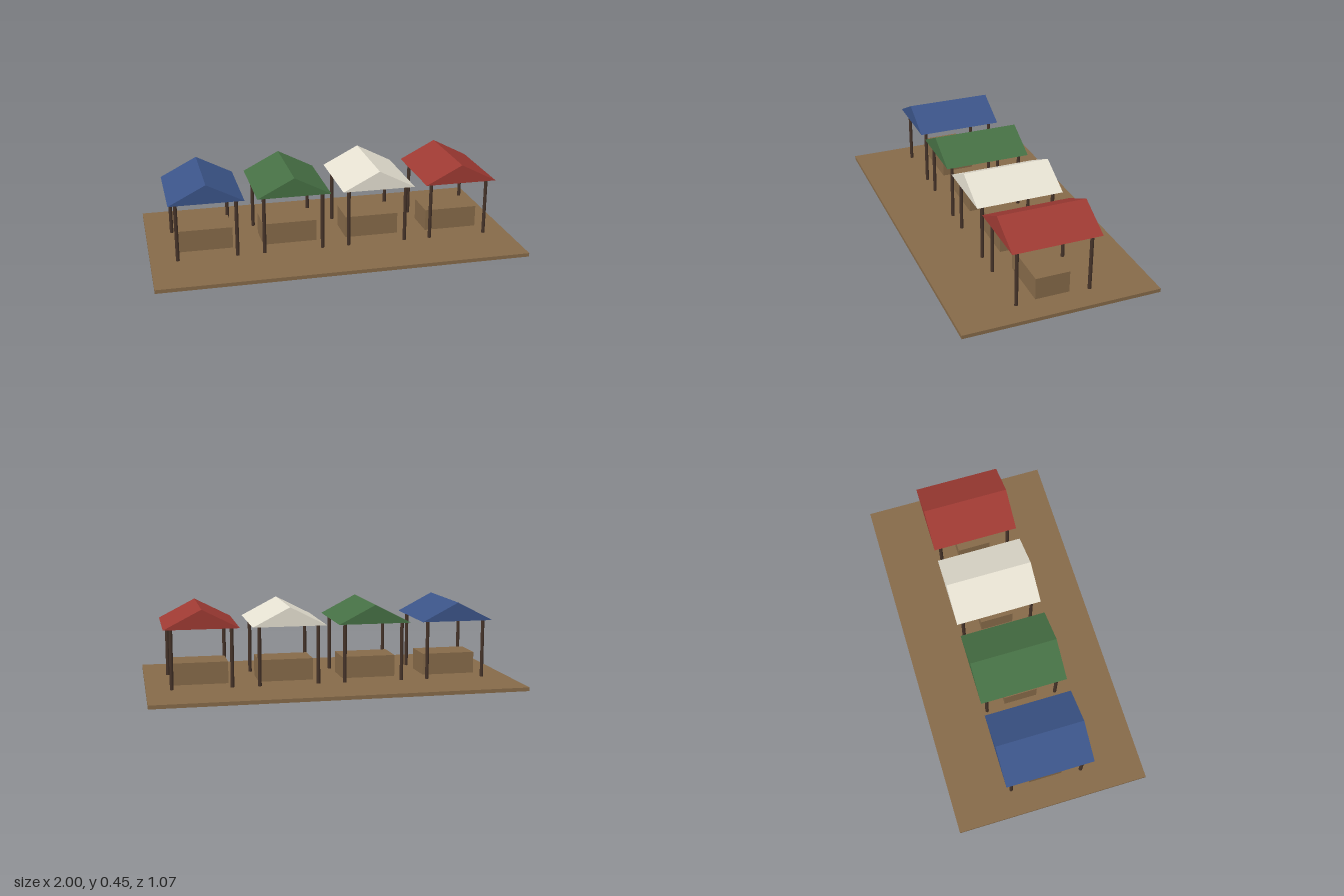
import * as THREE from 'three';

const material = (name, color) => {
  const m = new THREE.MeshStandardMaterial({ color });
  m.name = name;
  return m;
};

const BASE_TOP = 0.02, EAVE = 0.343, RIDGE = 0.446;

function part(name, geometry, mat, x, y, z) {
  const mesh = new THREE.Mesh(geometry, mat);
  mesh.name = name;
  mesh.position.set(x, y, z);
  return mesh;
}

export function createModel() {
  const wood = material('wood', 0x866a49);
  const darkWood = material('darkWood', 0x453329);
  const canopies = [
    material('blueCanopy', 0x3b5488),
    material('greenCanopy', 0x467044),
    material('creamCanopy', 0xe6e1d2),
    material('redCanopy', 0x9e3a33),
  ];

  const model = new THREE.Group();
  model.name = 'marketStalls';
  model.add(part('platform', new THREE.BoxGeometry(2, BASE_TOP, 1.066), wood, 0, BASE_TOP / 2, 0));

  // Closed gable prism, ridge running front to back
  const gable = new THREE.Shape([
    new THREE.Vector2(-0.2, 0),
    new THREE.Vector2(0.2, 0),
    new THREE.Vector2(0, RIDGE - EAVE),
  ]);
  const roofGeometry = new THREE.ExtrudeGeometry(gable, { depth: 0.48, bevelEnabled: false });
  roofGeometry.translate(0, 0, -0.24);

  const postHeight = EAVE - BASE_TOP;
  const postGeometry = new THREE.CylinderGeometry(0.01, 0.01, postHeight, 8);
  const counterGeometry = new THREE.BoxGeometry(0.3, 0.12, 0.187);

  // Four identical stalls in a row, each with its own canopy colour
  canopies.forEach((canopy, i) => {
    const stall = new THREE.Group();
    stall.name = 'stall' + (i + 1);
    stall.position.x = 0.005 + (i - 1.5) * 0.467;
    stall.add(part('roof', roofGeometry, canopy, 0, EAVE, 0));
    stall.add(part('counter', counterGeometry, wood, 0, BASE_TOP + 0.06, 0));
    for (const x of [-0.16, 0.16]) {
      for (const z of [-0.2, 0.2]) {
        stall.add(part('post', postGeometry, darkWood, x, BASE_TOP + postHeight / 2, z));
      }
    }
    model.add(stall);
  });

  return model;
}
